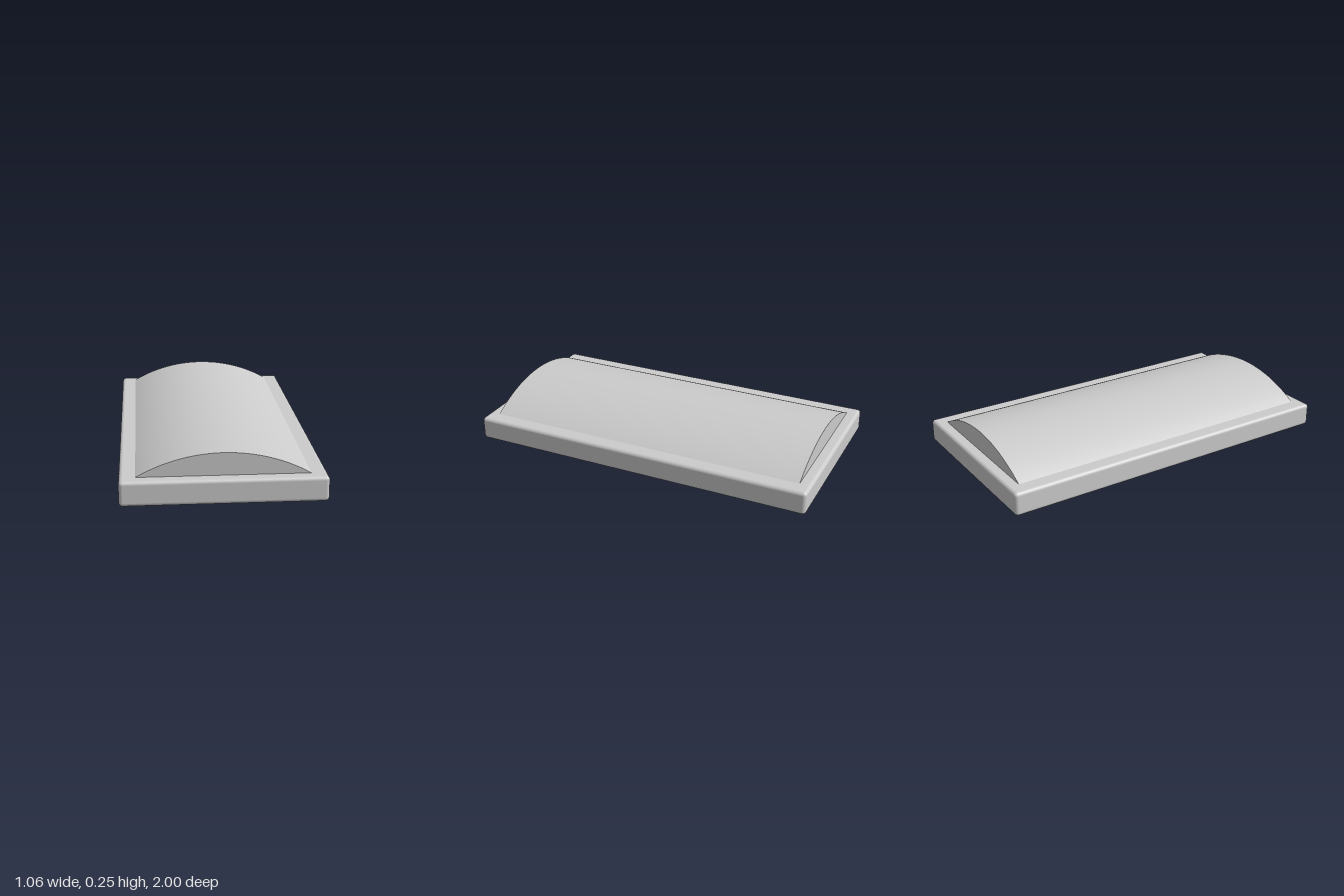
import * as THREE from 'three';
import { RoundedBoxGeometry } from 'three/addons/geometries/RoundedBoxGeometry.js';
import { toCreasedNormals } from 'three/addons/utils/BufferGeometryUtils.js';

const BASE = { width: 1.06, height: 0.133, depth: 2, radius: 0.02 };
const DOME = { halfWidth: 0.445, rise: 0.12, depth: 1.87 };

export function createModel() {
  const group = new THREE.Group();
  const material = new THREE.MeshStandardMaterial({ color: 0xcccccc });

  // Slab with softly rounded edges
  const base = new THREE.Mesh(
    new RoundedBoxGeometry(BASE.width, BASE.height, BASE.depth, 4, BASE.radius),
    material
  );
  base.name = 'base';
  base.position.y = BASE.height / 2;
  group.add(base);

  // Shallow vaulted cover: a circular segment extruded along z
  const { halfWidth, rise, depth } = DOME;
  const radius = (halfWidth ** 2 + rise ** 2) / (2 * rise);
  const angle = Math.asin(halfWidth / radius);
  const segment = new THREE.Shape();
  segment.absarc(0, rise - radius, radius, Math.PI / 2 - angle, Math.PI / 2 + angle, false);
  segment.closePath();
  const vault = new THREE.ExtrudeGeometry(segment, { depth, bevelEnabled: false, curveSegments: 48 });
  vault.translate(0, 0, -depth / 2);

  const cover = new THREE.Mesh(toCreasedNormals(vault, Math.PI / 8), material);
  cover.name = 'vaultedCover';
  cover.position.y = BASE.height;
  group.add(cover);

  return group;
}
